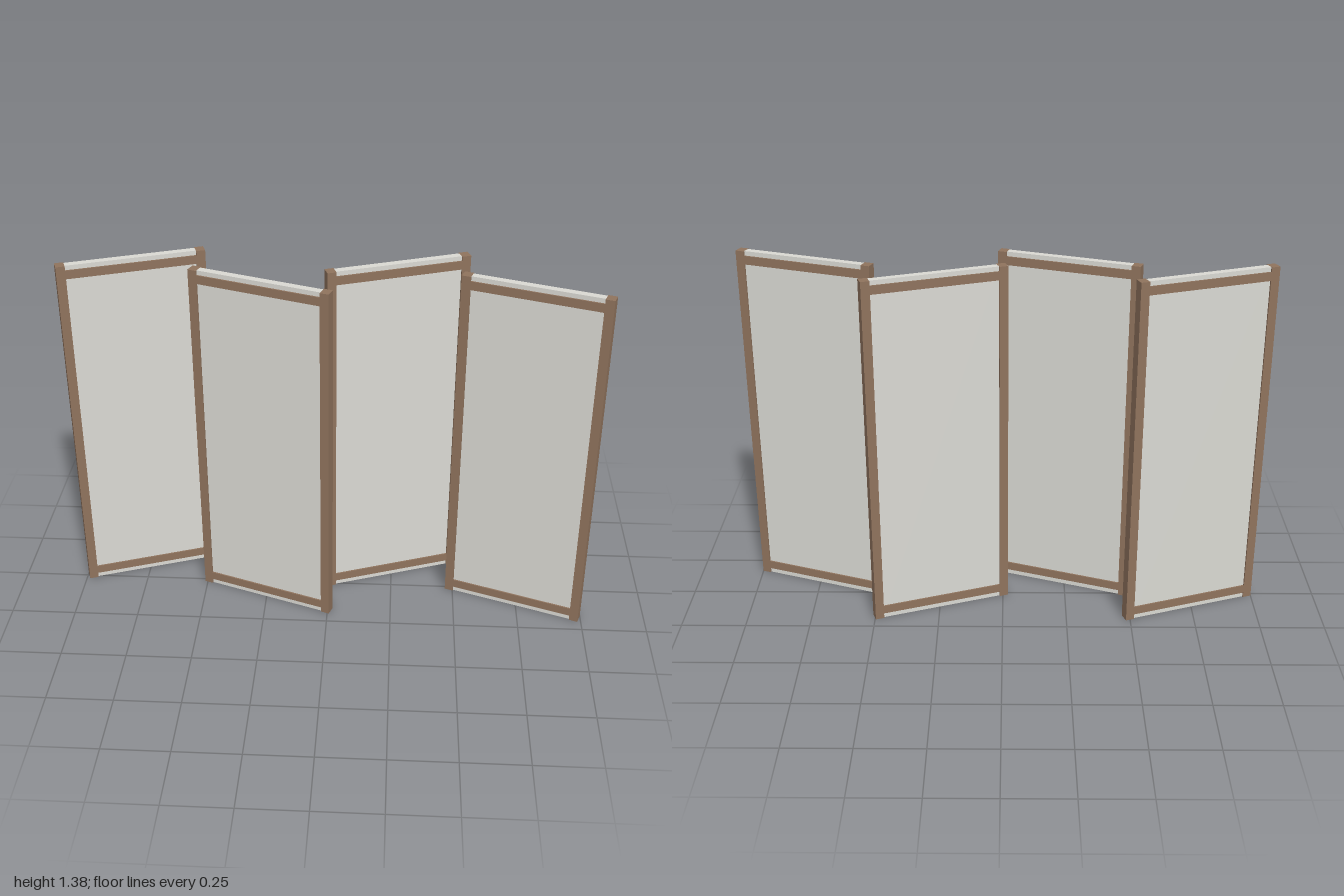
import * as THREE from 'three';

const HEIGHT = 1.385, LENGTH = 0.55, DEPTH = 0.04;
const STILE = 0.034, RAIL = 0.033, SHEET_DEPTH = 0.028;

const wood = new THREE.MeshStandardMaterial({ color: 0x8f735d });
const paper = new THREE.MeshStandardMaterial({ color: 0xdad9d3 });

function box(name, w, h, d, x, y, material) {
  const mesh = new THREE.Mesh(new THREE.BoxGeometry(w, h, d), material);
  mesh.name = name;
  mesh.position.set(x, y, 0);
  return mesh;
}

// One framed panel, standing on y = 0 and centred on its own axis
function createPanel() {
  const panel = new THREE.Group();
  const inner = LENGTH - 2 * STILE;

  // Upright posts at both ends
  for (const side of [-1, 1]) {
    panel.add(box(side < 0 ? 'rightStile' : 'leftStile', STILE, HEIGHT, DEPTH,
      side * (LENGTH - STILE) / 2, HEIGHT / 2, wood));
  }

  // Cross rails, set slightly in from the ends of the sheet
  panel.add(box('bottomRail', inner, RAIL, DEPTH, 0, 0.037, wood));
  panel.add(box('topRail', inner, RAIL, DEPTH, 0, HEIGHT - 0.034, wood));

  // Full-height recessed sheet
  panel.add(box('sheet', inner, HEIGHT, SHEET_DEPTH, 0, HEIGHT / 2, paper));
  return panel;
}

export function createModel() {
  const screen = new THREE.Group();
  screen.name = 'foldingScreen';

  // Four panels in a staggered zigzag
  for (let i = 0; i < 4; i++) {
    const turn = i % 2 ? -1 : 1;
    const panel = createPanel();
    panel.name = `panel${i + 1}`;
    panel.position.set((i - 1.5) * 0.49, 0, -turn * 0.09);
    panel.rotation.y = turn * THREE.MathUtils.degToRad(20);
    screen.add(panel);
  }
  return screen;
}
